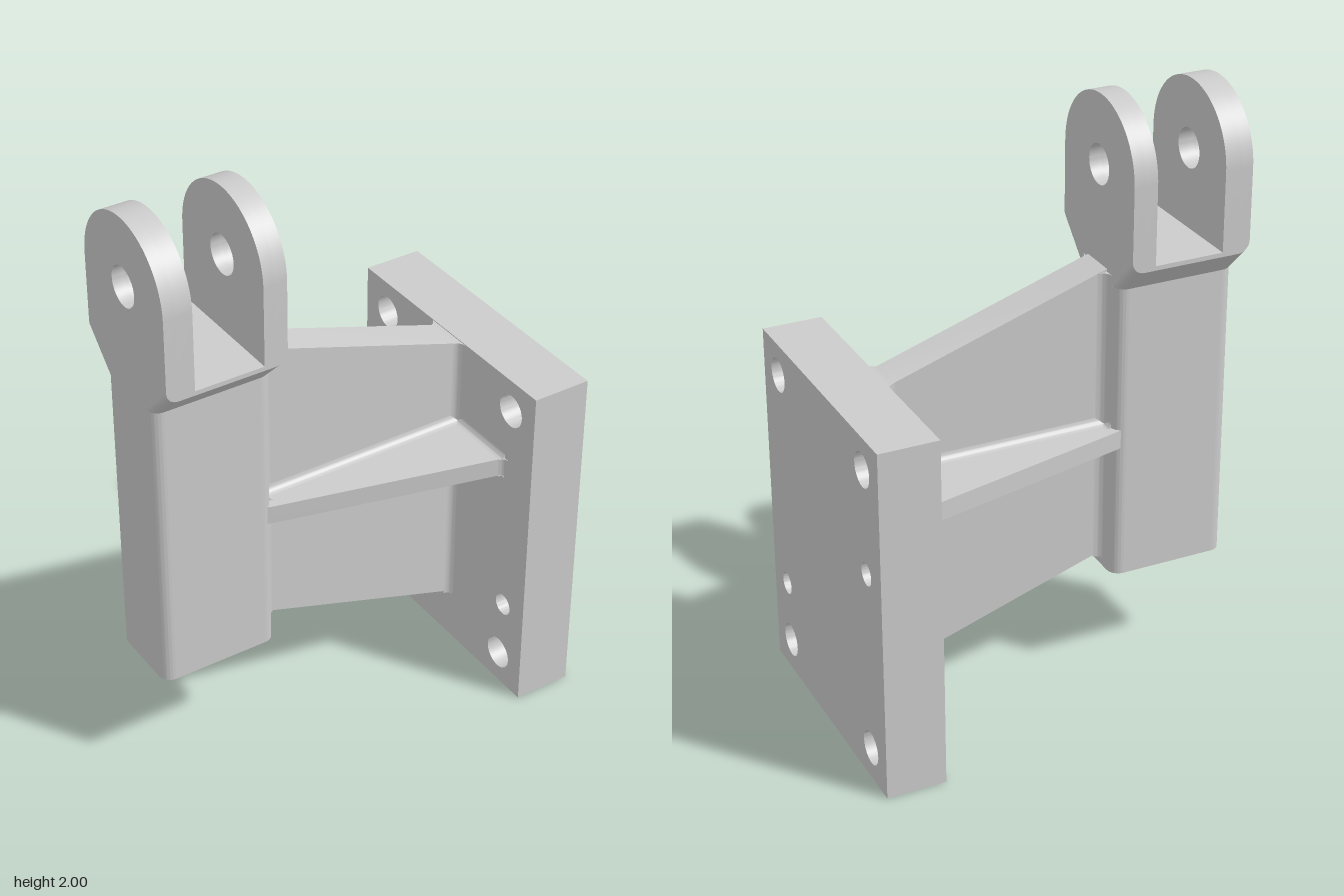
import * as THREE from 'three';
import { toCreasedNormals } from 'three/addons/utils/BufferGeometryUtils.js';

const material = new THREE.MeshStandardMaterial({ color: 0xcccccc });
const skinMaterial = new THREE.MeshStandardMaterial({ color: 0xcccccc, side: THREE.DoubleSide });

const X0 = -0.68, X1 = -0.27, PLATE = 0.48;   // post sides and plate back
const POST = 0.14, R = 0.04, HEAD = 0.23;     // post half depth, corner radius, head half depth
const NECK = 1.4, SLOT = 1.505, EYE = 1.77;   // heights on the clevis

// Extrudes a shape along an axis from a start coordinate.
// Shape axes: 'x' -> (-z, y), 'y' -> (x, -z), 'z' -> (x, y).
function extrude(name, shape, axis, start, length) {
  const raw = new THREE.ExtrudeGeometry(shape, { depth: length, bevelEnabled: false, curveSegments: 24 });
  raw.translate(0, 0, start);
  if (axis === 'x') raw.rotateY(Math.PI / 2);
  if (axis === 'y') raw.rotateX(-Math.PI / 2);
  const mesh = new THREE.Mesh(toCreasedNormals(raw, 0.5), material);
  mesh.name = name;
  return mesh;
}

const polygon = (points) => new THREE.Shape(points.map(([a, b]) => new THREE.Vector2(a, b)));

function addHole(shape, a, b, r) {
  const hole = new THREE.Path();
  hole.absarc(a, b, r, 0, Math.PI * 2, true);
  shape.holes.push(hole);
}

// Concave quarter-round filling an inside corner at (a, b), opening towards (sa, sb)
function fillet(name, axis, a, b, sa, sb, r, start, length) {
  const points = [[a, b]];
  for (let i = 0; i <= 8; i++) {
    const t = (i / 8) * Math.PI / 2;
    points.push([a + sa * r * (1 - Math.sin(t)), b + sb * r * (1 - Math.cos(t))]);
  }
  return extrude(name, polygon(points), axis, start, length);
}

// Fork outline across z; neck is the half width where the flare begins
function forkShape(neck) {
  const s = new THREE.Shape();
  const shoulder = NECK + HEAD - neck;
  s.moveTo(-neck, NECK);
  s.lineTo(neck, NECK);
  s.lineTo(HEAD, shoulder);
  s.lineTo(HEAD, EYE);
  s.absarc(0, EYE, HEAD, 0, Math.PI, false);
  s.lineTo(-HEAD, shoulder);
  s.closePath();
  addHole(s, 0, EYE, 0.066);
  return s;
}

// Rounded flare edge: the post corner arc swept outwards at 45 degrees
function flareCorner(x, sx, sz) {
  const positions = [], index = [], n = 8;
  for (let i = 0; i <= n; i++) {
    const t = (i / n) * Math.PI / 2;
    const px = x + sx * R * (1 - Math.cos(t));
    const z = POST - R + R * Math.sin(t);
    positions.push(px, NECK, sz * z, px, NECK + HEAD - z, sz * HEAD, px, NECK + HEAD - POST + R, sz * HEAD);
    if (i === n) continue;
    for (let j = 0; j < 2; j++) {
      const a = i * 3 + j, b = a + 3;
      if (sx * sz < 0) index.push(a, a + 1, b, b, a + 1, b + 1);
      else index.push(a, b, a + 1, b, b + 1, a + 1);
    }
  }
  const g = new THREE.BufferGeometry();
  g.setAttribute('position', new THREE.Float32BufferAttribute(positions, 3));
  g.setIndex(index);
  const mesh = new THREE.Mesh(toCreasedNormals(g, 0.5), skinMaterial);
  mesh.name = 'flareCorner';
  return mesh;
}

export function createModel() {
  const model = new THREE.Group();
  model.name = 'clevisBracket';

  // Mounting plate with four bolt holes and two dowel holes
  const plate = polygon([[-0.465, 0], [0.465, 0], [0.465, 1.21], [-0.465, 1.21]]);
  for (const a of [-0.343, 0.343]) for (const y of [0.113, 1.1]) addHole(plate, a, y, 0.057);
  addHole(plate, 0.352, 0.748, 0.038);
  addHole(plate, -0.355, 0.328, 0.038);
  model.add(extrude('mountingPlate', plate, 'x', PLATE, 0.2));

  // Post with rounded vertical edges
  const post = new THREE.Shape();
  post.absarc(X1 - R, POST - R, R, 0, Math.PI / 2, false);
  post.absarc(X0 + R, POST - R, R, Math.PI / 2, Math.PI, false);
  post.absarc(X0 + R, R - POST, R, Math.PI, Math.PI * 1.5, false);
  post.absarc(X1 - R, R - POST, R, Math.PI * 1.5, Math.PI * 2, false);
  model.add(extrude('post', post, 'y', 0.375, NECK - 0.375));

  // Clevis: two prongs joined by the flared floor of the slot
  const clevis = new THREE.Group();
  clevis.name = 'clevis';
  const sharp = forkShape(POST), rounded = forkShape(POST - R);
  clevis.add(
    extrude('prongOuter', rounded, 'x', X0, R),
    extrude('prongInner', sharp, 'x', X0 + R, 0.055),
    extrude('prongInner', sharp, 'x', -0.35, 0.04),
    extrude('prongOuter', rounded, 'x', X1 - R, R),
    extrude('slotFloor', polygon([[-POST, NECK], [POST, NECK], [HEAD, NECK + HEAD - POST],
      [HEAD, SLOT], [-HEAD, SLOT], [-HEAD, NECK + HEAD - POST]]), 'x', X0 + R + 0.055, 0.235),
  );
  for (const sz of [-1, 1]) clevis.add(flareCorner(X0, 1, sz), flareCorner(X1, -1, sz));
  model.add(clevis);

  // Upright web, sloping down from post to plate, with softened lower ends
  const web = new THREE.Shape();
  web.moveTo(X1, 1.445);
  web.lineTo(PLATE - 0.02, 1.207);
  web.lineTo(PLATE, 1.207);
  web.lineTo(PLATE, 0.168);
  web.quadraticCurveTo(PLATE, 0.19, PLATE - 0.025, 0.198);
  web.lineTo(X1 + 0.04, 0.42);
  web.quadraticCurveTo(X1, 0.433, X1, 0.39);
  web.closePath();
  model.add(extrude('web', web, 'z', -0.065, 0.13));

  // Horizontal rib widening towards the plate
  const rib = new THREE.Shape();
  rib.moveTo(X1 - 0.04, -0.13);
  rib.lineTo(X1, -0.143);
  rib.lineTo(PLATE - 0.025, -0.319);
  rib.quadraticCurveTo(PLATE, -0.325, PLATE, -0.35);
  rib.lineTo(PLATE, 0.35);
  rib.quadraticCurveTo(PLATE, 0.325, PLATE - 0.025, 0.319);
  rib.lineTo(X1, 0.143);
  rib.lineTo(X1 - 0.04, 0.13);
  rib.closePath();
  model.add(extrude('rib', rib, 'y', 0.843, 0.064));

  // Fillets where web, rib, post and plate meet
  const fillets = new THREE.Group();
  fillets.name = 'fillets';
  for (const s of [-1, 1]) {
    fillets.add(
      fillet('webPostFillet', 'y', X1, s * 0.065, 1, s, 0.035, 0.415, 1.02),
      fillet('webPlateFillet', 'y', PLATE, s * 0.065, -1, s, 0.03, 0.19, 1.017),
    );
    const y = s > 0 ? 0.907 : 0.843;
    fillets.add(
      fillet('ribPostFillet', 'z', X1, y, 1, s, 0.02, -0.11, 0.22),
      fillet('ribPlateFillet', 'z', PLATE, y, -1, s, 0.02, -0.325, 0.65),
    );
    for (const side of [-1, 1]) {
      fillets.add(fillet('webRibFillet', 'x', side * 0.065, y, side, s, 0.025, X1, PLATE - X1));
    }
  }
  model.add(fillets);

  return model;
}
